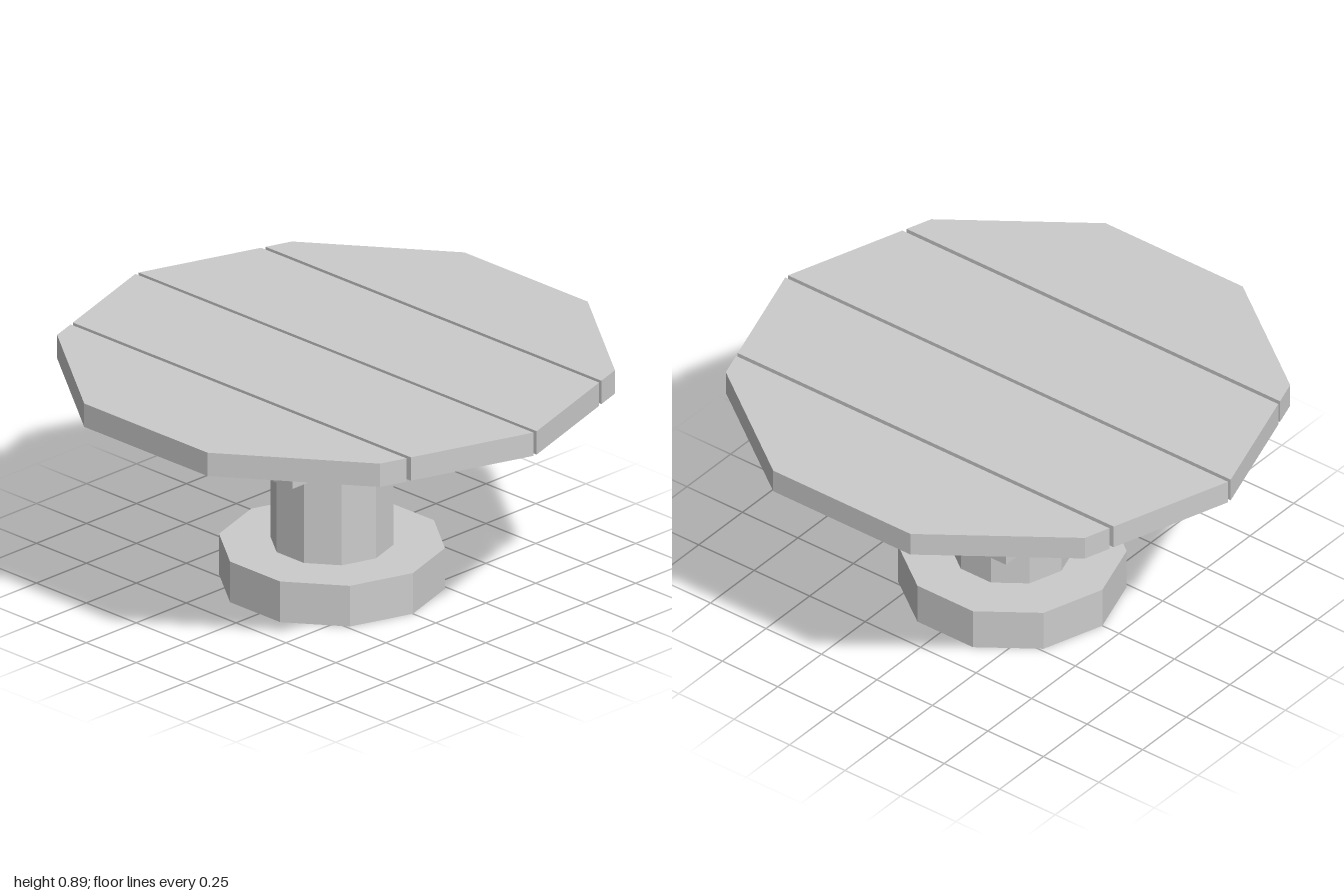
import * as THREE from 'three';

export function createModel() {
  const group = new THREE.Group();
  const material = new THREE.MeshStandardMaterial({ color: 0xcccccc, flatShading: true });

  const add = (name, geometry, x, y, z) => {
    const mesh = new THREE.Mesh(geometry, material);
    mesh.name = name;
    mesh.position.set(x, y, z);
    group.add(mesh);
  };

  // Ten-sided foot and pedestal, set slightly towards the back
  const decagonPrism = (name, radius, bottom, top) =>
    add(name, new THREE.CylinderGeometry(radius, radius, top - bottom, 10), 0, (bottom + top) / 2, -0.02);
  decagonPrism('foot', 0.405, 0, 0.157);
  decagonPrism('pedestal', 0.22, 0.157, 0.803);

  // Battens under the planks
  add('frontBatten', new THREE.BoxGeometry(1.46, 0.055, 0.175), 0, 0.772, 0.425);
  add('backBatten', new THREE.BoxGeometry(1.46, 0.055, 0.175), 0, 0.772, -0.478);

  // Half depth of the ten-sided table top at a given x
  const corners = [0, 1, 2, 3].map((i) => [Math.sin((i * Math.PI) / 5), Math.cos((i * Math.PI) / 5)]);
  const halfDepth = (x) => {
    const i = [0, 1].find((k) => Math.abs(x) <= corners[k + 1][0]) ?? 1;
    const [[x0, z0], [x1, z1]] = [corners[i], corners[i + 1]];
    return z0 + ((z1 - z0) * (Math.abs(x) - x0)) / (x1 - x0);
  };

  // Planks cut from the ten-sided outline, listed by the x of their corners
  const planks = {
    leftOuterPlank: [0.488, corners[1][0], corners[2][0]],
    leftInnerPlank: [0.008, 0.471],
    rightInnerPlank: [-0.471, -0.008],
    rightOuterPlank: [-corners[2][0], -corners[1][0], -0.488],
  };
  for (const [name, xs] of Object.entries(planks)) {
    const near = xs.map((x) => new THREE.Vector2(x, -halfDepth(x)));
    const far = xs.map((x) => new THREE.Vector2(x, halfDepth(x))).reverse();
    const geometry = new THREE.ExtrudeGeometry(new THREE.Shape([...near, ...far]), {
      depth: 0.09,
      bevelEnabled: false,
    });
    geometry.rotateX(-Math.PI / 2);
    add(name, geometry, 0, 0.8, 0);
  }

  return group;
}
